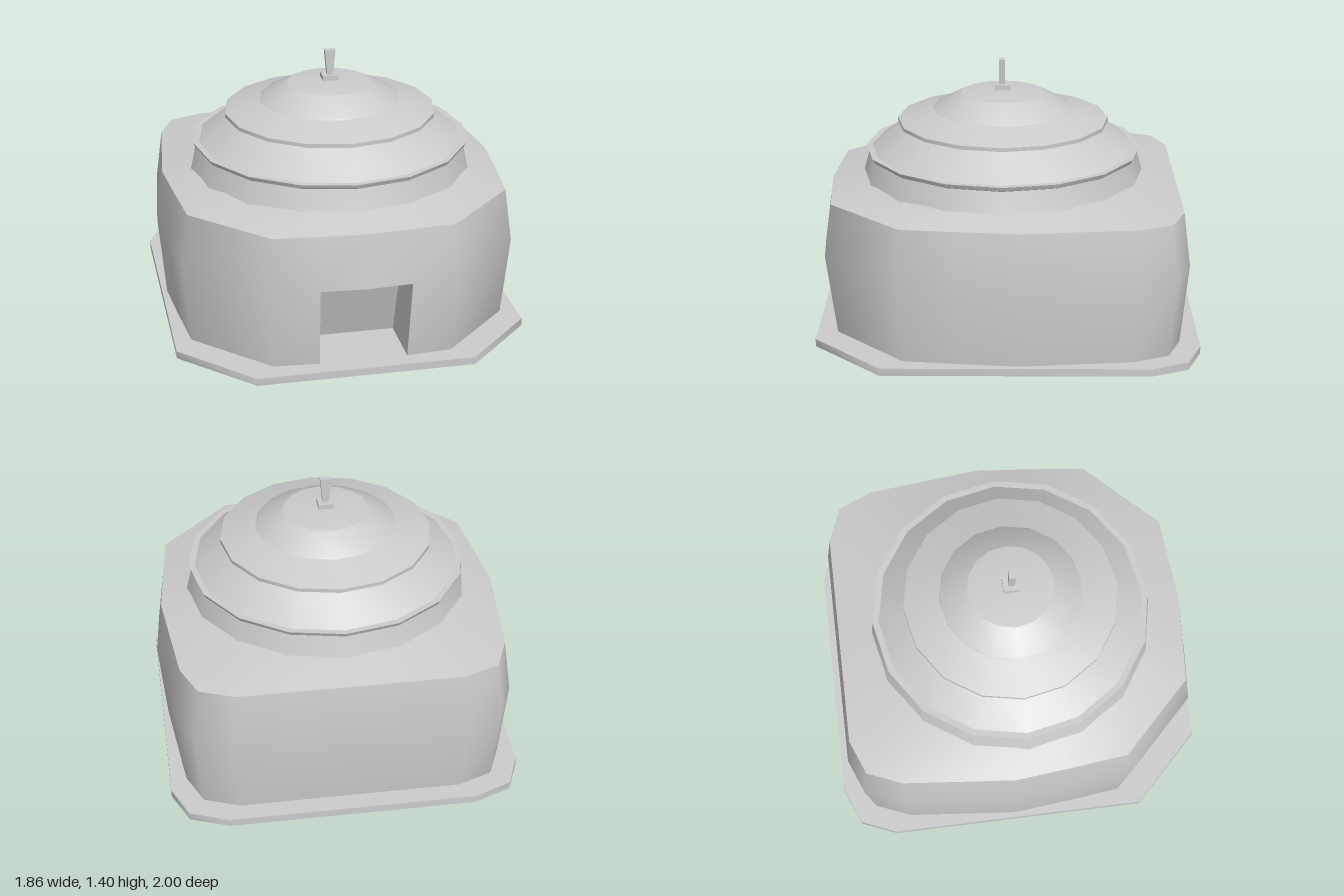
import * as THREE from 'three';
import { toCreasedNormals } from 'three/addons/utils/BufferGeometryUtils.js';

const grey = new THREE.MeshStandardMaterial({ color: 0xcccccc });
const greyDouble = new THREE.MeshStandardMaterial({ color: 0xcccccc, side: THREE.DoubleSide });
const DOME_Z = 0.025;

function part(name, geometry, material = grey) {
  const mesh = new THREE.Mesh(geometry, material);
  mesh.name = name;
  return mesh;
}

// Full outline from its +x half (front to back), mirrored to -x
function mirrored(half) {
  const inner = half.filter(([x]) => x > 0);
  return [...half, ...inner.reverse().map(([x, z]) => [-x, z])];
}

function quadGeometry(quads, crease) {
  const pos = [];
  for (const [a, b, c, d] of quads) pos.push(...a, ...b, ...c, ...a, ...c, ...d);
  const g = new THREE.BufferGeometry();
  g.setAttribute('position', new THREE.Float32BufferAttribute(pos, 3));
  return toCreasedNormals(g, crease);
}

export function createModel() {
  const model = new THREE.Group();
  model.name = 'domedHouse';

  // Ground slab with cut corners
  const slabOutline = mirrored([[0, 1], [0.56, 1], [0.92, 0.64], [0.92, -0.73], [0.84, -0.92], [0.64, -1], [0, -1]]);
  const slabShape = new THREE.Shape(slabOutline.map(([x, z]) => new THREE.Vector2(x, -z)));
  const slab = new THREE.ExtrudeGeometry(slabShape, { depth: 0.04, bevelEnabled: false });
  slab.rotateX(-Math.PI / 2);
  model.add(part('groundSlab', toCreasedNormals(slab, 0.85)));

  // Bulging walls: widest outline at door-top height, narrowed above and below
  const outline = mirrored([
    [0, 0.98], [0.235, 0.965], [0.48, 0.945], [0.865, 0.56], [0.9, 0.25], [0.93, -0.06],
    [0.9, -0.37], [0.87, -0.67], [0.79, -0.86], [0.6, -0.935], [0.3, -0.935], [0, -0.935],
  ]);
  const ring = (y, sx, front, back) => outline.map(([x, z]) => [x * sx, y, z * (z > 0 ? front : back)]);
  const bottom = ring(0.04, 0.96, 0.945, 0.96);
  const middle = ring(0.47, 1, 1, 1);
  const top = ring(0.75, 0.96, 0.96, 0.963);
  // Inner roof edge, tucked just inside the round drum
  const collar = top.map(([x, , z]) => {
    const s = 0.715 / Math.hypot(x, z - DOME_Z);
    return [x * s, 0.804, DOME_Z + (z - DOME_Z) * s];
  });

  const quads = [];
  const n = outline.length;
  [[bottom, middle], [middle, top], [top, collar]].forEach(([lo, hi], band) => {
    for (let i = 0; i < n; i++) {
      if (band === 0 && (i === 0 || i === n - 1)) continue; // door opening
      const j = (i + 1) % n;
      quads.push([lo[i], lo[j], hi[j], hi[i]]);
    }
  });
  model.add(part('wallsAndRoof', quadGeometry(quads, 0.85)));

  // Door recess: two jambs, sloping back wall, lintel
  const backLow = (s) => [s * 0.222, 0.04, 0.61];
  const backHigh = (s) => [s * 0.224, 0.47, 0.75];
  const right = n - 1;
  model.add(part('doorRecess', quadGeometry([
    [bottom[1], middle[1], backHigh(1), backLow(1)],
    [bottom[right], backLow(-1), backHigh(-1), middle[right]],
    [backLow(-1), backLow(1), backHigh(1), backHigh(-1)],
    [middle[right], backHigh(-1), backHigh(1), middle[1]],
  ], 0.3), greyDouble));
  // Small triangle closing the lintel's shallow point
  const tip = new THREE.BufferGeometry().setFromPoints(
    [middle[right], middle[1], middle[0]].map((v) => new THREE.Vector3(...v)));
  tip.computeVertexNormals();
  model.add(part('lintelTip', tip, greyDouble));

  // Tiered dome, each tier a sixteen-sided lathe
  const tiers = {
    drum: [[0.755, 0.77], [0.745, 0.8], [0.715, 0.908]],
    drumRim: [[0.715, 0.908], [0.722, 0.912], [0.732, 0.934], [0.7, 0.934]],
    lowerDome: [[0.7, 0.934], [0.51, 1.066]],
    upperRim: [[0.51, 1.066], [0.56, 1.066], [0.56, 1.086]],
    upperDome: [[0.56, 1.086], [0.372, 1.144]],
    crown: [[0.372, 1.144], [0.366, 1.15], [0.225, 1.225]],
    cap: [[0.225, 1.225], [0.001, 1.25]],
  };
  for (const [name, profile] of Object.entries(tiers)) {
    const lathe = new THREE.LatheGeometry(profile.map(([r, y]) => new THREE.Vector2(r, y)), 16);
    const mesh = part(name, toCreasedNormals(lathe, 0.5));
    mesh.position.z = DOME_Z;
    model.add(mesh);
  }

  // Finial: small block with a post flaring sideways towards its top
  const block = part('finialBase', new THREE.BoxGeometry(0.084, 0.04, 0.084));
  block.position.set(0, 1.25, DOME_Z);
  const flare = new THREE.BoxGeometry(0.056, 0.137, 0.032);
  const p = flare.attributes.position;
  for (let i = 0; i < p.count; i++) if (p.getY(i) < 0) p.setX(i, p.getX(i) * 0.55);
  flare.computeVertexNormals();
  const post = part('finialPost', flare);
  post.position.set(0, 1.3365, DOME_Z + 0.005);
  model.add(block, post);

  return model;
}
